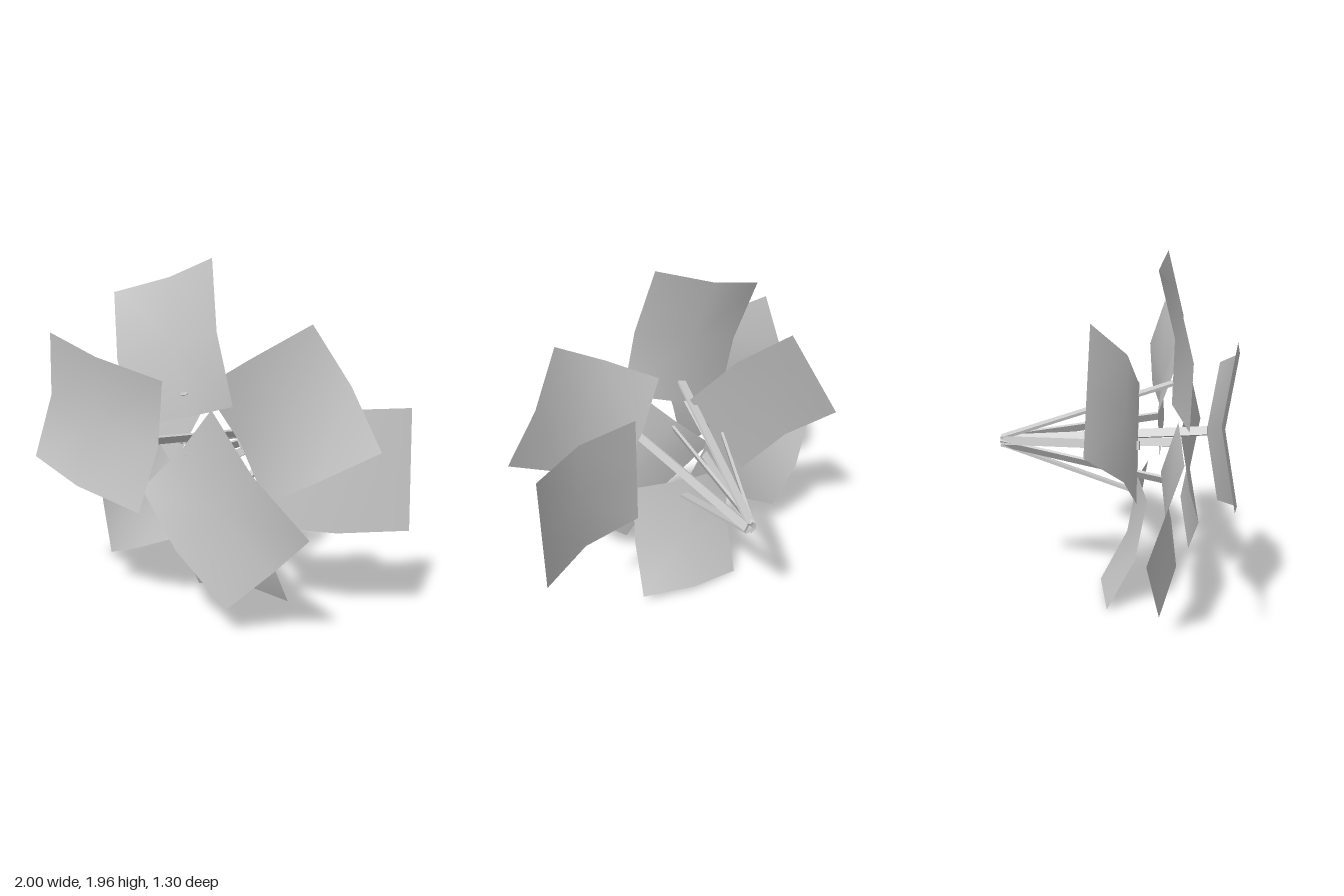
import * as THREE from 'three';

const material = new THREE.MeshStandardMaterial({ color: 0xcccccc, side: THREE.DoubleSide });

// Leaf card: centre, half vectors u and v, and bends along the normal.
// The middle of the u edges rises by rise, the middle of the v edges drops by drop.
function makeLeaf(name, centre, u, v, rise, drop) {
  const c = new THREE.Vector3(...centre);
  const U = new THREE.Vector3(...u);
  const V = new THREE.Vector3(...v);
  const N = U.clone().cross(V).normalize();
  const geometry = new THREE.PlaneGeometry(2, 2, 2, 2);
  const pos = geometry.attributes.position;
  for (let i = 0; i < pos.count; i++) {
    const s = pos.getX(i), t = pos.getY(i);
    const bend = rise * (1 - s * s) - drop * (1 - t * t);
    const p = c.clone().addScaledVector(U, s).addScaledVector(V, t).addScaledVector(N, bend);
    pos.setXYZ(i, p.x, p.y, p.z);
  }
  geometry.computeVertexNormals();
  const mesh = new THREE.Mesh(geometry, material);
  mesh.name = name;
  return mesh;
}

// Flat stem from the shared root, its wide side facing away from the root axis
function makeStem(name, end) {
  const tip = new THREE.Vector3(...end);
  const axis = new THREE.Vector3(0, 0.9, 0);
  const outward = tip.clone().sub(axis).setZ(0).normalize();
  const root = new THREE.Vector3(0, 0.9, -0.64).addScaledVector(outward, 0.02);
  const along = tip.clone().sub(root);
  const length = along.length();
  along.normalize();
  const across = outward.clone().cross(along).normalize();
  const thick = along.clone().cross(across);
  const mesh = new THREE.Mesh(new THREE.BoxGeometry(0.048, 0.016, length), material);
  mesh.quaternion.setFromRotationMatrix(new THREE.Matrix4().makeBasis(across, thick, along));
  mesh.position.copy(root).add(tip).multiplyScalar(0.5);
  mesh.name = name;
  return mesh;
}

export function createModel() {
  const group = new THREE.Group();
  group.name = 'leafCluster';

  // name, centre, half length u, half width v, rise, drop
  const leaves = [
    ['topLeaf', [-0.158, 1.507, 0.36], [0.0935, -0.364, 0.04], [0.3265, 0.0915, -0.02], 0.05, 0.07],
    ['frontUpperLeaf', [-0.51, 1.1, 0.597], [0.395, -0.1, -0.01], [0.095, 0.365, 0.003], 0.058, 0.065],
    ['frontLowerLeaf', [0.223, 0.69, 0.45], [0.2975, -0.2785, 0.01], [0.254, 0.2515, 0.01], 0.055, 0.058],
    ['upperSideLeaf', [0.525, 1.19, 0.275], [0.304, 0.174, -0.03], [-0.171, 0.294, 0.04], 0.055, 0.055],
    ['lowerSideLeaf', [-0.54, 0.645, 0.32], [0.33, 0.1375, 0.03], [-0.13, 0.3125, 0.0125], 0.057, 0.075],
    ['bottomLeaf', [0.01, 0.357, 0.09], [0.025, -0.328, -0.11], [0.319, 0.025, -0.005], 0.05, 0.058],
    ['backUpperLeaf', [-0.485, 1.145, 0.04], [0.257, -0.19, 0.11], [0.1775, 0.285, 0], 0.06, 0],
    ['backSideLeaf', [0.632, 0.875, -0.045], [0.335, 0.008, -0.18], [-0.008, 0.331, 0.004], 0.072, 0],
  ];
  for (const leaf of leaves) group.add(makeLeaf(...leaf));

  // stem tips at the inner edges of the leaves
  const stems = [
    ['topStem', [-0.09, 1.26, 0.34]],
    ['frontUpperStem', [-0.2, 1.02, 0.52]],
    ['frontLowerStem', [-0.06, 0.92, 0.39]],
    ['upperSideStem', [0.215, 1.01, 0.25]],
    ['lowerSideStem', [-0.22, 0.75, 0.285]],
    ['bottomStem', [0, 0.6, 0.16]],
    ['backUpperStem', [-0.27, 0.95, 0.16]],
  ];
  for (const stem of stems) group.add(makeStem(...stem));

  return group;
}
